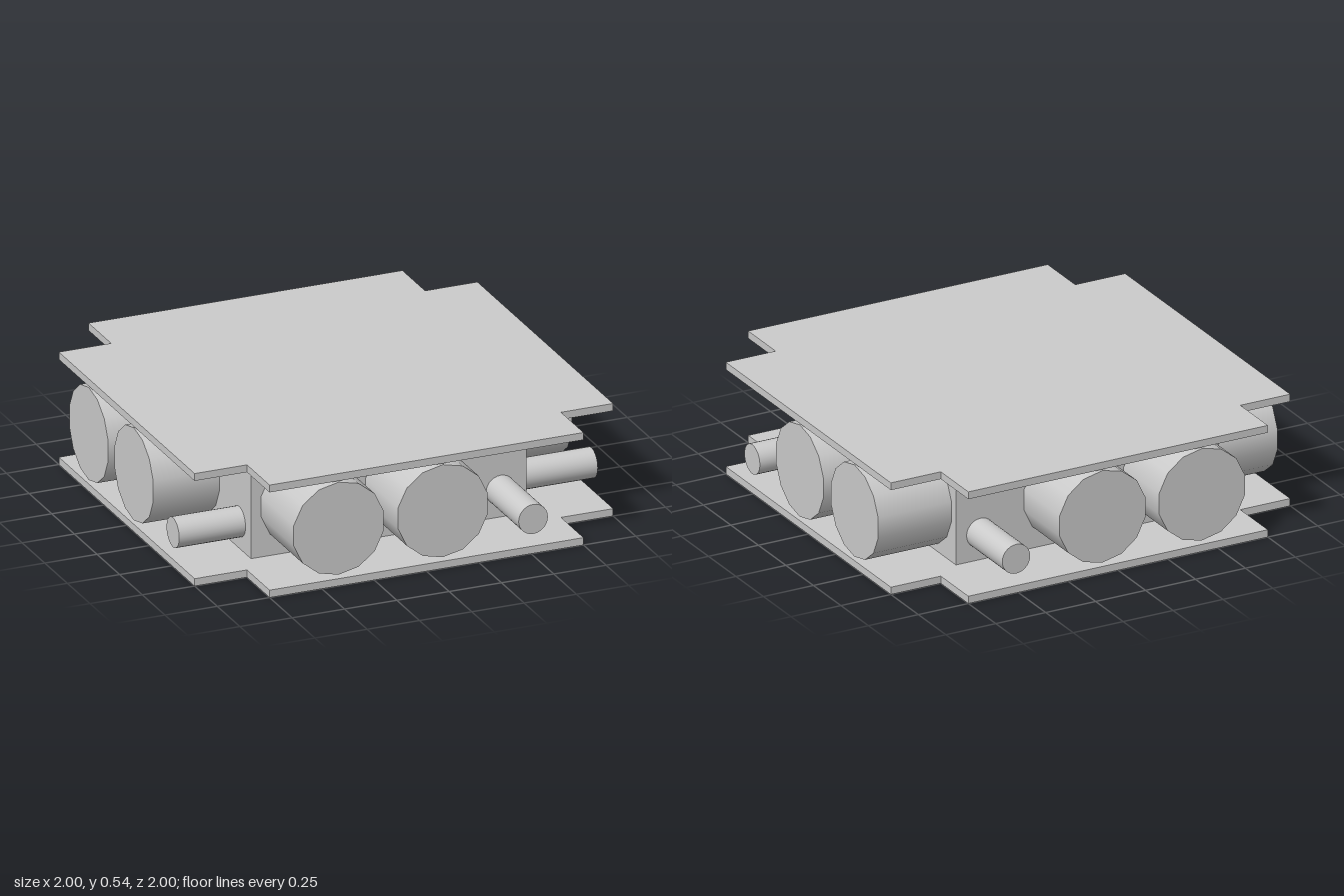
import * as THREE from 'three';

const material = new THREE.MeshStandardMaterial({ color: 0xcccccc });

function add(parent, name, geometry, x = 0, y = 0, z = 0) {
  const mesh = new THREE.Mesh(geometry, material);
  mesh.name = name;
  mesh.position.set(x, y, z);
  parent.add(mesh);
  return mesh;
}

// Square plate with its four corners notched out, lying flat
function plateGeometry(half, notch, thickness) {
  const shape = new THREE.Shape([
    [-notch, -half], [notch, -half], [notch, -notch], [half, -notch],
    [half, notch], [notch, notch], [notch, half], [-notch, half],
    [-notch, notch], [-half, notch], [-half, -notch], [-notch, -notch],
  ].map(([x, y]) => new THREE.Vector2(x, y)));
  return new THREE.ExtrudeGeometry(shape, { depth: thickness, bevelEnabled: false })
    .rotateX(-Math.PI / 2);
}

export function createModel() {
  const model = new THREE.Group();
  model.name = 'platedBlock';

  // Bottom and top plates
  const plate = plateGeometry(1, 0.75, 0.035);
  add(model, 'bottomPlate', plate, 0, 0, 0);
  add(model, 'topPlate', plate, 0, 0.5, 0);

  // Core block, slightly off centre
  add(model, 'coreBlock', new THREE.BoxGeometry(1.316, 0.465, 1.316), -0.025, 0.2675, -0.018);

  // Rods running right through the block, one set along z and one along x
  const rods = [
    { name: 'largeRod', offset: -0.42, y: 0.274, radius: 0.22, sides: 14 },
    { name: 'largeRod', offset: 0.078, y: 0.274, radius: 0.22, sides: 14 },
    { name: 'smallRod', offset: 0.51, y: 0.163, radius: 0.07, sides: 28 },
  ];
  for (const { name, offset, y, radius, sides } of rods) {
    const alongZ = new THREE.CylinderGeometry(radius, radius, 2, sides).rotateX(Math.PI / 2);
    const alongX = alongZ.clone().rotateY(Math.PI / 2);
    add(model, name + 'FrontToBack', alongZ, offset, y, 0);
    add(model, name + 'SideToSide', alongX, 0, y, offset);
  }
  return model;
}
